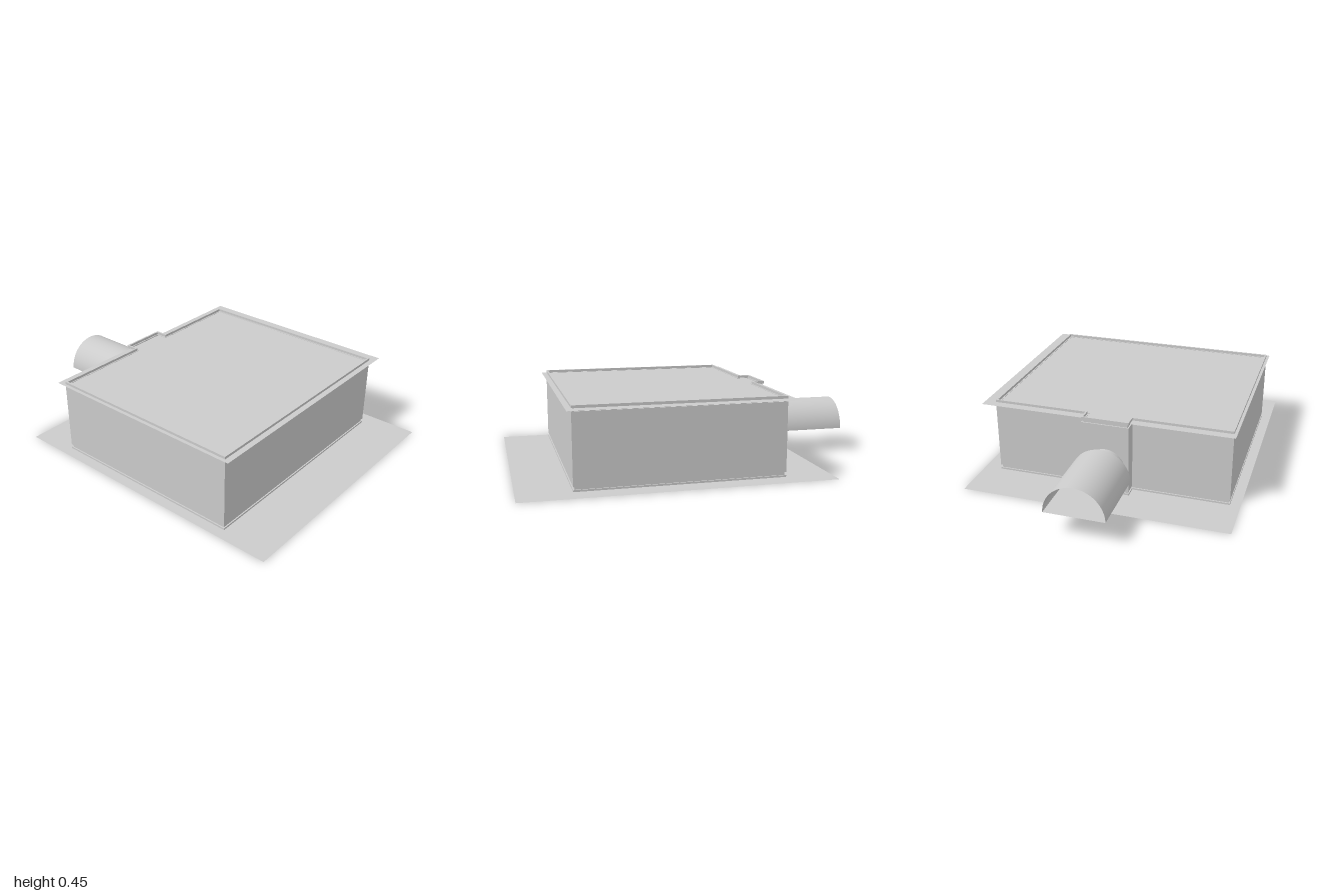
import * as THREE from 'three';

const material = new THREE.MeshStandardMaterial({ color: 0xcccccc, side: THREE.DoubleSide });

function add(parent, name, geometry, x = 0, y = 0, z = 0) {
  const mesh = new THREE.Mesh(geometry, material);
  mesh.name = name;
  mesh.position.set(x, y, z);
  parent.add(mesh);
  return mesh;
}

// Floor plan of the room with its shallow porch on -x, shrunk inwards by d
function plan(d) {
  const x0 = -0.44 + d, x1 = 0.71 - d, z0 = -0.655 + d, z1 = 0.7 - d;
  const px = -0.507 + d, pz0 = -0.12 + d, pz1 = 0.148 - d;
  return [[x0, z1], [x1, z1], [x1, z0], [x0, z0], [x0, pz0], [px, pz0], [px, pz1], [x0, pz1]]
    .map(([x, z]) => new THREE.Vector2(x, -z));
}

// Thin upright wall that follows the plan
function wallRing(inset, thickness, y0, y1) {
  const shape = new THREE.Shape(plan(inset));
  shape.holes.push(new THREE.Path(plan(inset + thickness)));
  const g = new THREE.ExtrudeGeometry(shape, { depth: y1 - y0, bevelEnabled: false });
  return g.rotateX(-Math.PI / 2).translate(0, y0, 0);
}

// Flat horizontal sheet between two corners
function sheet(x0, x1, z0, z1, y) {
  return new THREE.PlaneGeometry(x1 - x0, z1 - z0).rotateX(-Math.PI / 2)
    .translate((x0 + x1) / 2, y, (z0 + z1) / 2);
}

// Half-round vault running along x, springing from y = 0
function vault(radius, height, x0, x1) {
  return new THREE.CylinderGeometry(radius, radius, x1 - x0, 32, 1, true, 0, Math.PI)
    .rotateZ(Math.PI / 2).scale(1, height / radius, 1).translate((x0 + x1) / 2, 0, 0);
}

export function createModel() {
  const model = new THREE.Group();
  model.name = 'building';

  // Ground and roof sheets
  add(model, 'groundSheet', sheet(-0.705, 1, -0.757, 0.757, 0));
  add(model, 'roofSheet', sheet(-0.485, 0.74, -0.72, 0.716, 0.432));

  // Walls with recessed joints above and below
  const rings = [
    ['baseStrip', 0, 0.004, 0.014],
    ['lowerJoint', 0.007, 0.014, 0.031],
    ['wall', 0, 0.031, 0.417],
    ['upperJoint', 0.007, 0.417, 0.434],
    ['roofRim', 0, 0.434, 0.448],
  ];
  for (const [name, inset, y0, y1] of rings) add(model, name, wallRing(inset, 0.01, y0, y1));

  // Entrance tunnel: narrow neck, then a wider open-ended vault
  const tunnel = new THREE.Group();
  tunnel.name = 'tunnel';
  tunnel.position.set(0, 0.142, 0.016);
  model.add(tunnel);
  add(tunnel, 'neckVault', vault(0.115, 0.13, -0.588, -0.5));
  add(tunnel, 'neckFloor', sheet(-0.588, -0.5, -0.115, 0.115, 0));
  add(tunnel, 'tunnelVault', vault(0.167, 0.167, -1, -0.588));
  add(tunnel, 'tunnelFloor', sheet(-1, -0.588, -0.167, 0.167, 0));
  add(tunnel, 'tunnelShoulder',
    new THREE.RingGeometry(0.115, 0.167, 32, 1, 0, Math.PI).rotateY(Math.PI / 2), -0.588);

  return model;
}
